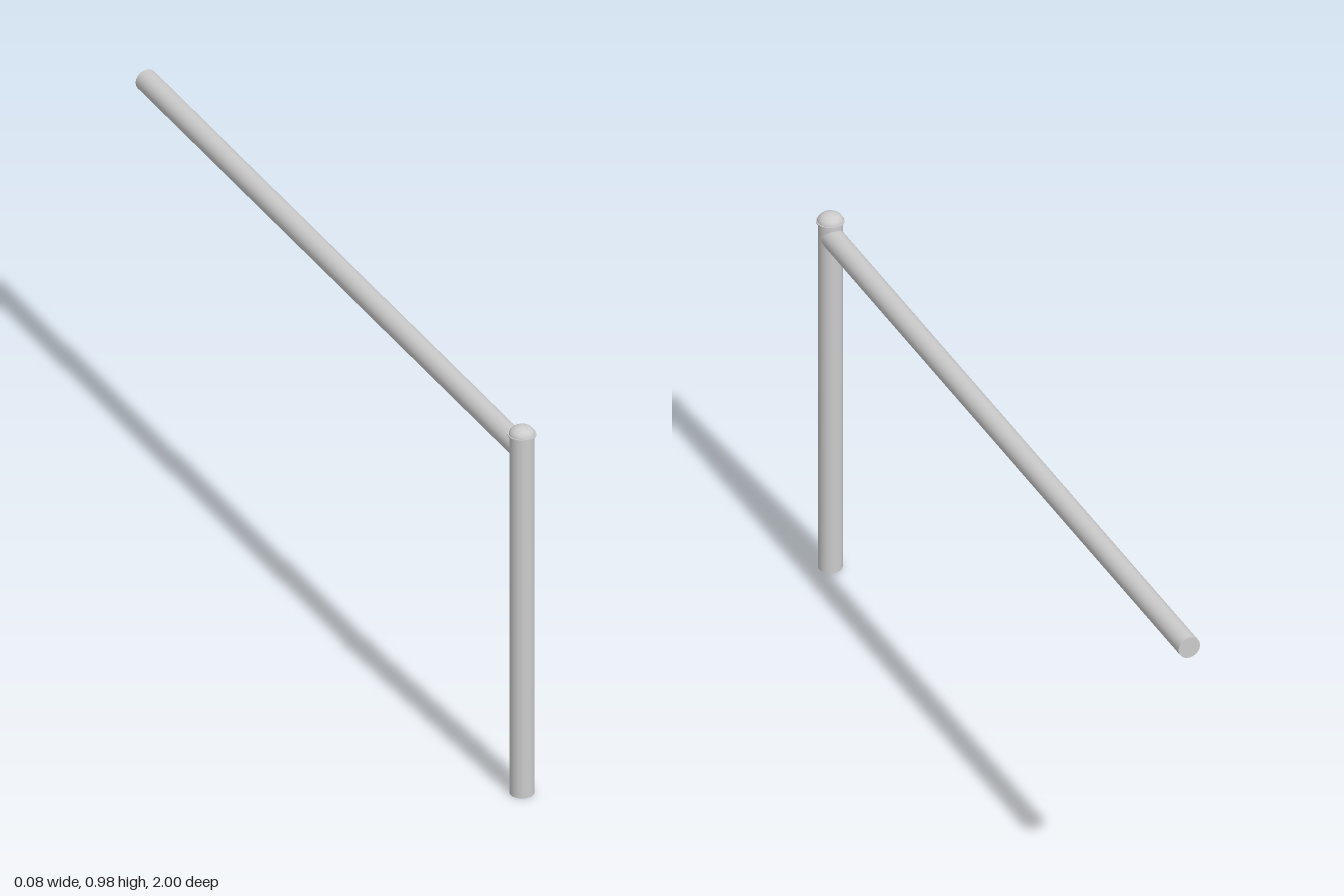
import * as THREE from 'three';

const POST = { x: -0.005, z: 0.966, radius: 0.029, height: 0.955 };
const RAIL = { y: 0.915, radius: 0.0275, endX: 0.0095, endZ: -1 };

export function createModel() {
  const group = new THREE.Group();
  const material = new THREE.MeshStandardMaterial({ color: 0xcccccc });

  const add = (name, geometry) => {
    const mesh = new THREE.Mesh(geometry, material);
    mesh.name = name;
    group.add(mesh);
    return mesh;
  };

  // Upright post
  add('post', new THREE.CylinderGeometry(POST.radius, POST.radius, POST.height, 32))
    .position.set(POST.x, POST.height / 2, POST.z);

  // Thin cap rim, slightly wider than the post
  add('capRim', new THREE.CylinderGeometry(0.0335, 0.0335, 0.003, 32))
    .position.set(POST.x, POST.height, POST.z);

  // Low domed cap
  const profile = [];
  for (let i = 0; i <= 10; i++) {
    const a = (i / 10) * Math.PI / 2;
    profile.push(new THREE.Vector2(i === 10 ? 0 : 0.031 * Math.cos(a), 0.022 * Math.sin(a)));
  }
  add('capDome', new THREE.LatheGeometry(profile, 32))
    .position.set(POST.x, POST.height, POST.z);

  // Rail running back from inside the post, slightly skewed sideways
  const start = new THREE.Vector3(POST.x, RAIL.y, POST.z);
  const end = new THREE.Vector3(RAIL.endX, RAIL.y, RAIL.endZ);
  const span = end.clone().sub(start);
  const rail = add('rail', new THREE.CylinderGeometry(RAIL.radius, RAIL.radius, span.length(), 32));
  rail.position.copy(start).add(end).multiplyScalar(0.5);
  rail.quaternion.setFromUnitVectors(new THREE.Vector3(0, 1, 0), span.normalize());

  return group;
}
